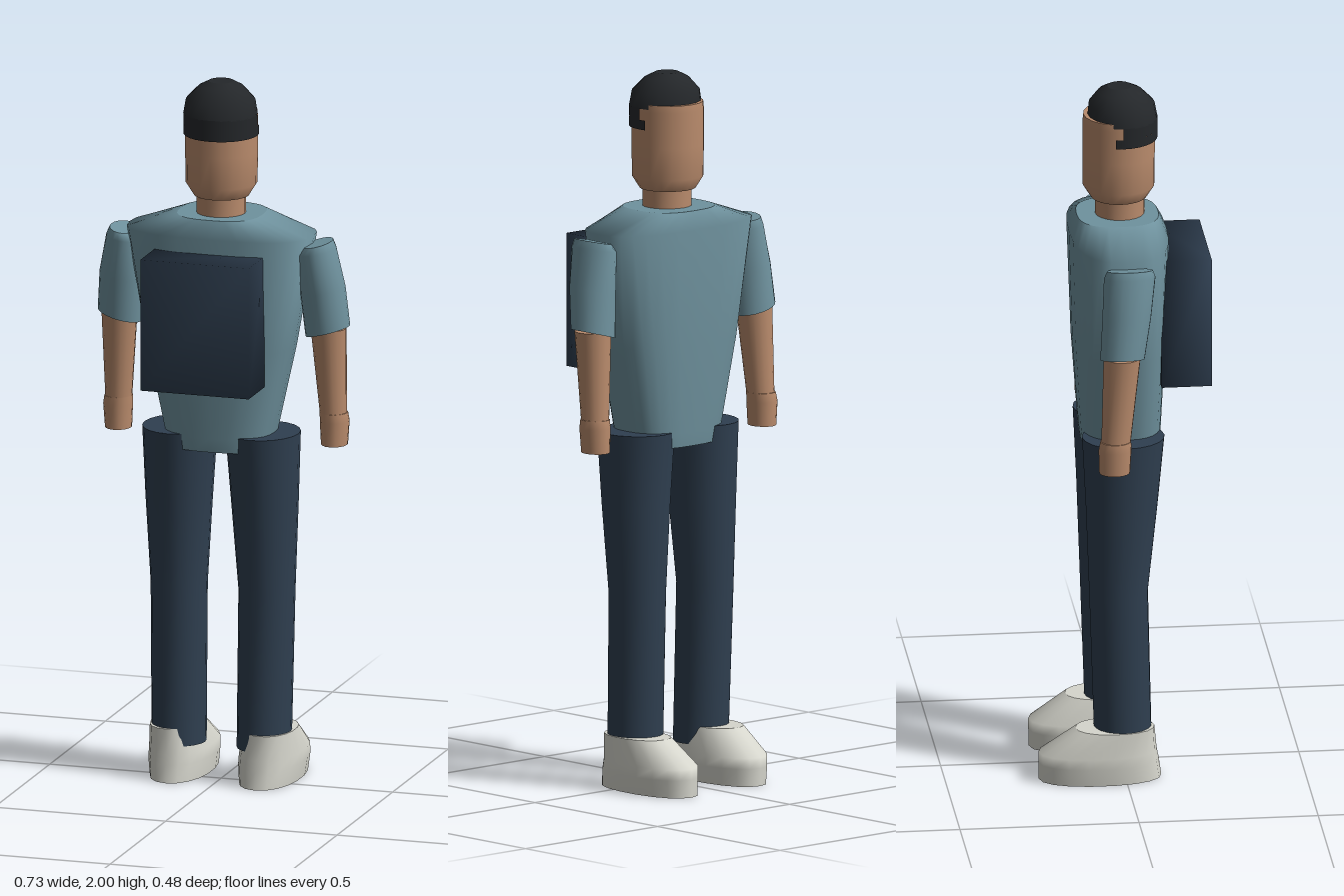
import * as THREE from 'three';
import { mergeVertices } from 'three/addons/utils/BufferGeometryUtils.js';

const mat = (color) => new THREE.MeshStandardMaterial({ color, side: THREE.DoubleSide });

// Skin over stacked rounded sections { y, x, z, rx, rz, slope }, with flat end caps.
function loft(sections, { sides = 20, power = 2 } = {}) {
  const pos = [], idx = [];
  const ring = ({ y, x = 0, z = 0, rx, rz = rx, slope = 0 }) => {
    const start = pos.length / 3;
    for (let i = 0; i < sides; i++) {
      const a = (i / sides) * Math.PI * 2;
      const c = Math.cos(a), s = Math.sin(a);
      const dx = rx * Math.sign(s) * Math.abs(s) ** (2 / power);
      const dz = rz * Math.sign(c) * Math.abs(c) ** (2 / power);
      pos.push(x + dx, y + slope * dx, z + dz);
    }
    return start;
  };
  const starts = sections.map(ring);
  for (let k = 0; k + 1 < starts.length; k++) {
    for (let i = 0; i < sides; i++) {
      const j = (i + 1) % sides;
      const a = starts[k] + i, b = starts[k] + j, c = starts[k + 1] + i, d = starts[k + 1] + j;
      idx.push(a, b, d, a, d, c);
    }
  }
  // caps have their own vertices so the rims stay sharp
  const cap = (section, up) => {
    const s = ring(section);
    const centre = pos.length / 3;
    pos.push(section.x ?? 0, section.y, section.z ?? 0);
    for (let i = 0; i < sides; i++) {
      const j = (i + 1) % sides;
      if (up) idx.push(centre, s + i, s + j);
      else idx.push(centre, s + j, s + i);
    }
  };
  cap(sections[0], false);
  cap(sections[sections.length - 1], true);
  const g = new THREE.BufferGeometry();
  g.setAttribute('position', new THREE.Float32BufferAttribute(pos, 3));
  g.setIndex(idx);
  g.computeVertexNormals();
  return g;
}

export function createModel() {
  const model = new THREE.Group();
  model.name = 'person';
  const shirt = mat(0x6f929e), denim = mat(0x2f3f50), skin = mat(0xb98b6c);
  const black = mat(0x24272a), white = mat(0xd6d6cd), navy = mat(0x2c3b4c);
  const add = (name, geometry, material, parent = model) => {
    const mesh = new THREE.Mesh(geometry, material);
    mesh.name = name;
    parent.add(mesh);
    return mesh;
  };

  // Torso, tapering from shoulders to hem
  add('torso', loft([
    { y: 0.96, rx: 0.145, rz: 0.108, z: -0.002 },
    { y: 1.0, rx: 0.155, rz: 0.113, z: -0.002 },
    { y: 1.25, rx: 0.21, rz: 0.127, z: -0.005 },
    { y: 1.575, rx: 0.268, rz: 0.136, z: -0.006 },
    { y: 1.625, rx: 0.12, rz: 0.114, z: -0.007 },
  ], { sides: 28, power: 2.7 }), shirt);

  // Neck and head
  add('neck', loft([{ y: 1.6, rx: 0.069 }, { y: 1.7, rx: 0.069 }]), skin);
  add('head', loft([
    { y: 1.675, rx: 0.078, z: -0.003 },
    { y: 1.71, rx: 0.1, z: -0.003 },
    { y: 1.8, rx: 0.101, z: -0.003 },
    { y: 1.9, rx: 0.101, z: -0.003 },
    { y: 1.92, rx: 0.099, z: -0.003 },
  ]), skin);

  // Hair: a cap plus two bands wrapping the back and sides
  const hair = new THREE.Group();
  hair.name = 'hair';
  model.add(hair);
  add('hairCap', loft([
    { y: 1.908, rx: 0.104, rz: 0.098, z: 0.007 },
    { y: 1.95, rx: 0.097, rz: 0.092, z: 0.005 },
    { y: 1.985, rx: 0.063, rz: 0.062, z: 0.001 },
    { y: 2.0, rx: 0.034, z: 0 },
  ]), black, hair);
  for (const [low, high, half] of [[1.85, 1.877, 1.77], [1.877, 1.91, 1.58]]) {
    const band = add('hairBand', new THREE.CylinderGeometry(
      0.105, 0.105, high - low, 16, 1, true, -half, half * 2), black, hair);
    band.position.y = (low + high) / 2;
  }

  // Backpack, shaded softly across its edges
  const bag = new THREE.BoxGeometry(0.316, 0.375, 0.14);
  bag.deleteAttribute('normal');
  bag.deleteAttribute('uv');
  const softBag = mergeVertices(bag);
  softBag.computeVertexNormals();
  add('backpack', softBag, navy).position.set(0, 1.345, 0.17);

  // Arms, legs and shoes on both sides
  for (const side of [1, -1]) {
    const part = (name, sections, material, options) => add(
      (side > 0 ? 'left' : 'right') + name,
      loft(sections.map((s) => ({ ...s, x: s.x * side, slope: (s.slope ?? 0) * side })), options),
      material);

    part('Sleeve', [
      { y: 1.302, x: 0.303, rx: 0.062, rz: 0.062, z: -0.025, slope: 0.27 },
      { y: 1.42, x: 0.293, rx: 0.062, rz: 0.068, z: -0.012, slope: 0.2 },
      { y: 1.535, x: 0.278, rx: 0.053, rz: 0.072, z: -0.002, slope: 0.15 },
      { y: 1.557, x: 0.283, rx: 0.038, rz: 0.064, z: -0.002, slope: 0.2 },
    ], shirt);
    part('Forearm', [
      { y: 1.06, x: 0.313, rx: 0.037, rz: 0.041, z: -0.044 },
      { y: 1.31, x: 0.305, rx: 0.05, rz: 0.052, z: -0.026 },
    ], skin, { sides: 16 });
    part('Hand', [
      { y: 0.972, x: 0.315, rx: 0.037, rz: 0.043, z: -0.048 },
      { y: 1.04, x: 0.316, rx: 0.041, rz: 0.046, z: -0.047 },
      { y: 1.065, x: 0.314, rx: 0.039, rz: 0.043, z: -0.045 },
    ], skin, { sides: 16 });
    part('Leg', [
      { y: 0.1, x: 0.124, rx: 0.076, rz: 0.08, z: -0.004 },
      { y: 0.55, x: 0.128, rx: 0.079, rz: 0.082, z: -0.017 },
      { y: 0.8, x: 0.125, rx: 0.093, rz: 0.1, z: -0.008 },
      { y: 1.005, x: 0.121, rx: 0.104, rz: 0.115, z: -0.003 },
    ], denim);
    part('Shoe', [
      { y: 0, x: 0.13, rx: 0.081, rz: 0.171, z: -0.069 },
      { y: 0.05, x: 0.131, rx: 0.087, rz: 0.168, z: -0.073 },
      { y: 0.08, x: 0.131, rx: 0.086, rz: 0.165, z: -0.076 },
      { y: 0.15, x: 0.137, rx: 0.07, rz: 0.11, z: -0.028 },
    ], white, { sides: 18, power: 2.2 });
  }
  return model;
}
